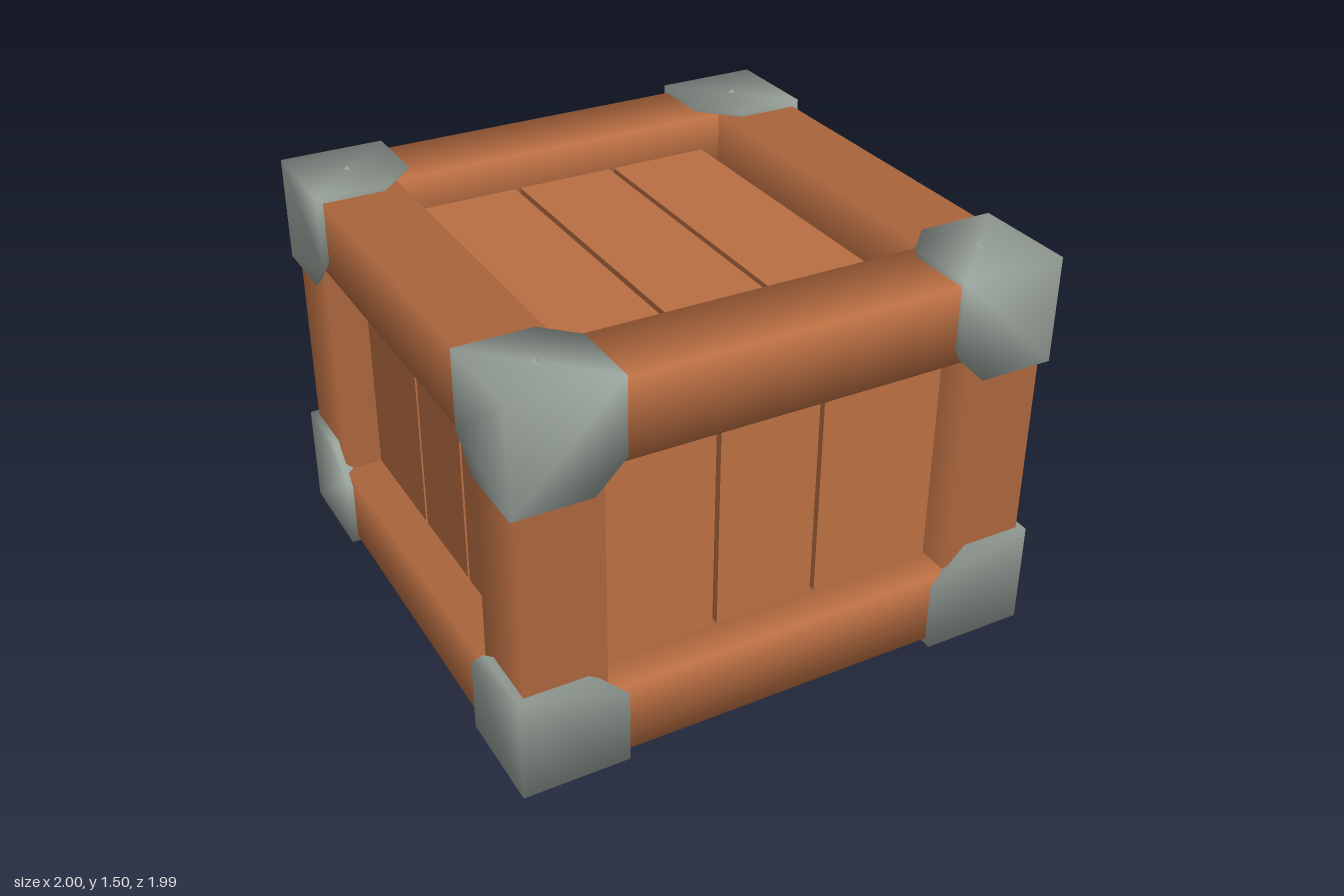
import * as THREE from 'three';
import { mergeVertices } from 'three/addons/utils/BufferGeometryUtils.js';
import { ConvexGeometry } from 'three/addons/geometries/ConvexGeometry.js';

const SIGNS = [-1, 1];
const CORNER = { x: 0.998, y: 0.737, z: 0.995 };
const MID_Y = 0.753;

export function createModel() {
  const wood = new THREE.MeshStandardMaterial({ color: 0xb96e42 });
  wood.name = 'wood';
  const metal = new THREE.MeshStandardMaterial({ color: 0x98a19a });
  metal.name = 'metal';

  const crate = new THREE.Group();
  crate.name = 'crate';

  const add = (name, geometry, material, x, y, z) => {
    const mesh = new THREE.Mesh(geometry, material);
    mesh.name = name;
    mesh.position.set(x, y, z);
    crate.add(mesh);
    return mesh;
  };

  // Beam whose four long edges are softly shaded, so it reads as rounded
  const beamGeometry = (size, axis) => {
    const g = new THREE.BoxGeometry(...size);
    const p = g.attributes.position;
    const n = new THREE.Vector3();
    for (let i = 0; i < p.count; i++) {
      n.fromBufferAttribute(p, i);
      n.set(Math.sign(n.x), Math.sign(n.y), Math.sign(n.z)).setComponent(axis, 0).normalize();
      g.attributes.normal.setXYZ(i, n.x, n.y, n.z);
    }
    return g;
  };

  // Frame: four beams along each axis
  for (const a of SIGNS) {
    for (const b of SIGNS) {
      const beamY = b > 0 ? 1.323 : 0.175;
      const h = b > 0 ? 0.286 : 0.27;
      add('crossBeam', beamGeometry([1.8, h, 0.3], 0), wood, 0, beamY, a * 0.822);
      add('sideBeam', beamGeometry([0.3, h, 1.8], 2), wood, a * 0.824, beamY, 0);
      add('cornerPost', beamGeometry([0.298, 1.3, 0.298], 1), wood, a * 0.823, MID_Y, b * 0.821);
    }
  }

  // Slats: three recessed boards on each of the six sides
  const inset = 0.8, thick = 0.06;
  for (const s of SIGNS) {
    for (const k of [-1, 0, 1]) {
      const wide = k === 0 ? 0.375 : 0.55;
      const at = k === 0 ? 0 : k * 0.48;
      add('wallSlat', new THREE.BoxGeometry(wide, 1.16, thick), wood, at, MID_Y, s * inset);
      add('sideSlat', new THREE.BoxGeometry(thick, 1.16, wide), wood, s * inset, MID_Y, at);
      const lidWide = k === 0 ? 0.375 : 0.39;
      add(s > 0 ? 'topSlat' : 'bottomSlat', new THREE.BoxGeometry(lidWide, thick, 1.56), wood,
        k * 0.403, MID_Y + s * 0.55, 0);
    }
  }

  // Corner bracket: a block with its inward corners cut off
  const size = 0.39, cut = 0.28;
  const face = [[0, 0], [0, size], [cut, size], [size, cut], [size, 0]];
  const bracketGeometry = (sx, sy, sz) => {
    const points = [];
    for (const [u, v] of face) {
      for (const d of [[u, v, 0], [v, 0, u], [0, u, v]]) {
        points.push(new THREE.Vector3(-sx * d[0], -sy * d[1], -sz * d[2]));
      }
    }
    const g = new ConvexGeometry(points);
    g.deleteAttribute('normal');
    const smooth = mergeVertices(g, 1e-4);
    smooth.computeVertexNormals();
    return smooth;
  };

  const up = new THREE.Vector3(0, 1, 0);
  const nail = new THREE.ConeGeometry(0.035, 0.03, 3);
  const addNail = (x, y, z, dir) => {
    add('nail', nail, metal, x, y, z).quaternion.setFromUnitVectors(up, dir);
  };

  for (const sx of SIGNS) for (const sy of SIGNS) for (const sz of SIGNS) {
    const x = sx * CORNER.x, y = MID_Y + sy * CORNER.y, z = sz * CORNER.z;
    add('cornerBracket', bracketGeometry(sx, sy, sz), metal, x, y, z);
    // Nail heads on the left, right, top and bottom faces
    addNail(x - sx * 0.011, MID_Y + sy * 0.56, sz * 0.8, new THREE.Vector3(sx, 0, 0));
    addNail(sx * 0.81, y - sy * 0.001, sz * 0.8, new THREE.Vector3(0, sy, 0));
  }

  return crate;
}
